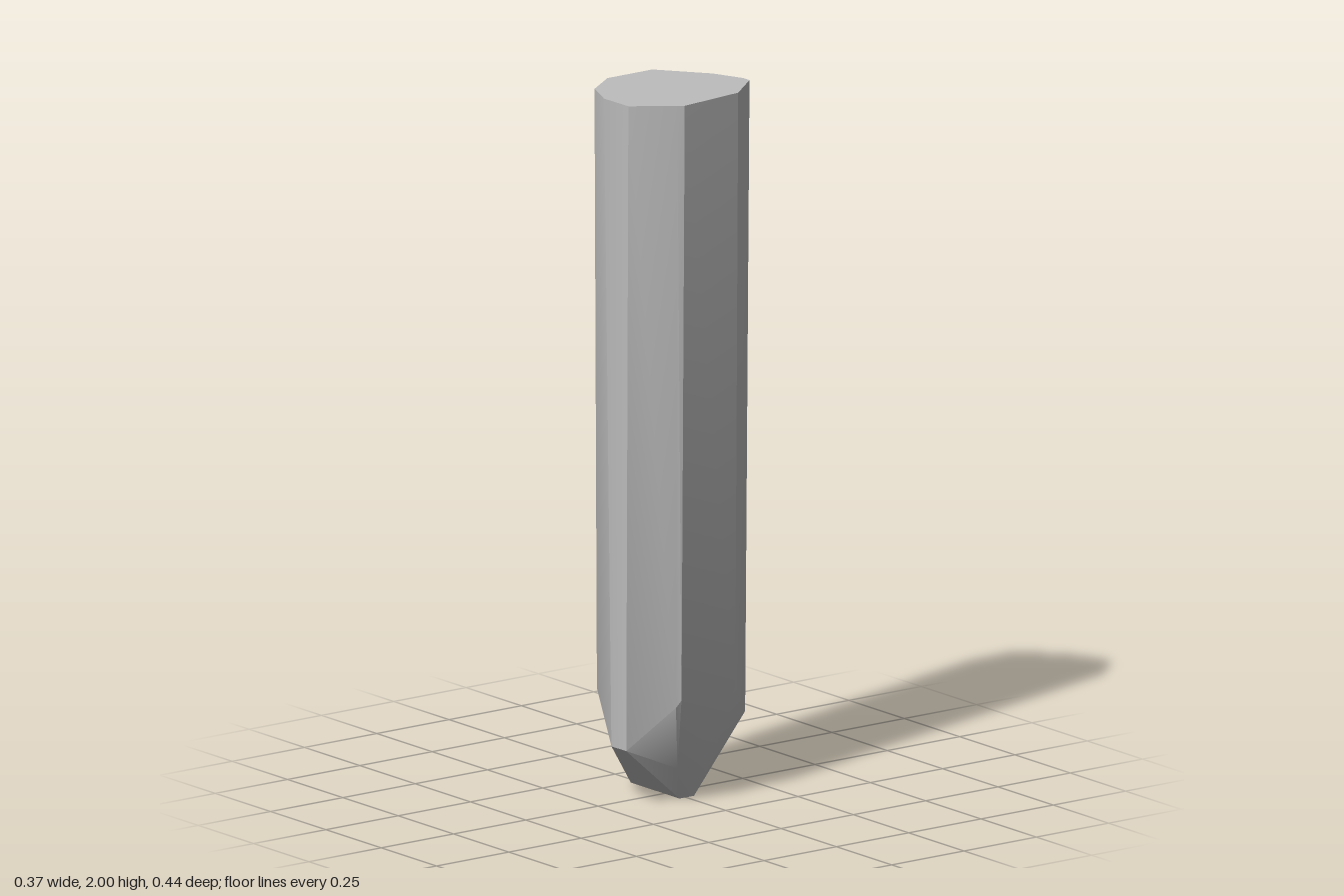
import * as THREE from 'three';
import { ConvexGeometry } from 'three/addons/geometries/ConvexGeometry.js';
import { toCreasedNormals } from 'three/addons/utils/BufferGeometryUtils.js';

export function createModel() {
  const grey = new THREE.MeshStandardMaterial({ color: 0xbdbdbd });
  grey.name = 'paleGrey';

  // Uneven hewn outline of the flat top end: x, z
  const outline = [
    [0.04, -0.22], [0.07, -0.22], [0.16, -0.112], [0.185, 0.092], [0.175, 0.11],
    [0.095, 0.218], [-0.012, 0.22], [-0.113, 0.176], [-0.185, 0.076],
    [-0.185, -0.079], [-0.049, -0.184],
  ];
  // Where each long edge meets the sharpened end: x, y, z
  const shoulders = [
    [0.03, 0.21, -0.211], [0.062, 0.21, -0.211], [0.152, 0.32, -0.108],
    [0.173, 0.31, 0.094], [0.165, 0.29, 0.107], [0.075, 0.165, 0.21],
    [0.008, 0.165, 0.21], [-0.11, 0.3, 0.17], [-0.18, 0.3, 0.075],
    [-0.18, 0.3, -0.078], [-0.048, 0.25, -0.18],
  ];
  // Rounded cheeks and the narrow chisel tip: x, y, z
  const tip = [
    [0.11, 0.1, -0.06], [0.11, 0.1, 0.06], [-0.167, 0.12, -0.05], [-0.167, 0.12, 0.05],
    [-0.15, 0, 0.022], [0.07, 0, 0.022], [0.07, 0, -0.028], [-0.15, 0, -0.028],
  ];

  const points = [
    ...outline.map(([x, z]) => new THREE.Vector3(x, 2, z)),
    ...[...shoulders, ...tip].map((p) => new THREE.Vector3(...p)),
  ];

  // One solid stake, soft over shallow edges and crisp over steep ones
  const stake = new THREE.Mesh(toCreasedNormals(new ConvexGeometry(points), 0.5), grey);
  stake.name = 'sharpenedStake';

  const model = new THREE.Group();
  model.name = 'woodenStake';
  model.add(stake);
  return model;
}
